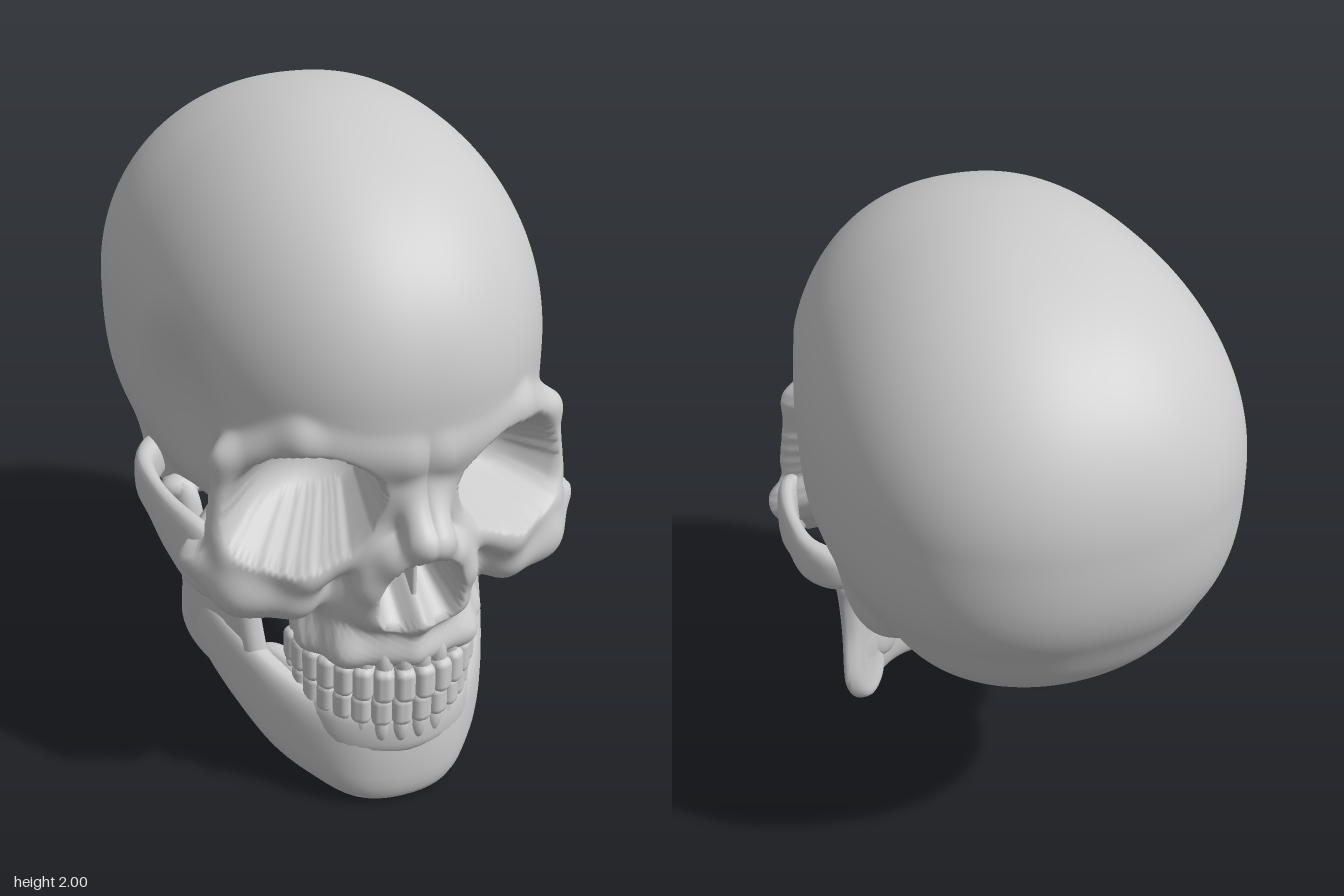
import * as THREE from 'three';
import { mergeVertices, toCreasedNormals } from 'three/addons/utils/BufferGeometryUtils.js';
import { RoundedBoxGeometry } from 'three/addons/geometries/RoundedBoxGeometry.js';

const bone = new THREE.MeshStandardMaterial({ color: 0xcccccc });

// ---- sculpting volumes: negative inside, positive outside ----
const ball = (x, y, z, c, r) => {
  const X = (x - c[0]) / r[0], Y = (y - c[1]) / r[1], Z = (z - c[2]) / r[2];
  const k = Math.sqrt(X * X + Y * Y + Z * Z);
  const g = Math.sqrt((X / r[0]) ** 2 + (Y / r[1]) ** 2 + (Z / r[2]) ** 2);
  return k * (k - 1) / (g + 1e-6);
};
// Rounded bar between two points given as [x, y, z, radius]
const bar = (x, y, z, a, b) => {
  const dx = b[0] - a[0], dy = b[1] - a[1], dz = b[2] - a[2];
  const t = ((x - a[0]) * dx + (y - a[1]) * dy + (z - a[2]) * dz) / (dx * dx + dy * dy + dz * dz);
  const h = Math.min(1, Math.max(0, t));
  const X = x - a[0] - dx * h, Y = y - a[1] - dy * h, Z = z - a[2] - dz * h;
  return Math.sqrt(X * X + Y * Y + Z * Z) - (a[3] + (b[3] - a[3]) * h);
};
const join = (a, b, k) => {
  const h = Math.max(k - Math.abs(a - b), 0) / k;
  return Math.min(a, b) - h * h * k / 4;
};
const carve = (a, b, k) => -join(-a, b, k);

// Egg-shaped braincase, narrower at the front and fuller low down
function braincase(x, y, z) {
  const X = x / (0.61 * (1.08 - 0.18 * (z + 0.87) / 1.68));
  const Y = Math.abs(y - 1.35) / 0.65, Z = Math.abs(z + 0.038) / 0.832;
  const plan = (Math.abs(X) ** 2.3 + Z ** 2.3) ** (2 / 2.3);
  return (Math.sqrt(plan + Y ** (y < 1.35 ? 3 : 2)) - 1) * 0.6;
}

// Bony ridges of one half of the face, as chains of [x, y, z, radius]
const ridges = [
  [[0.05, 1.21, 0.735, 0.06], [0.3, 1.255, 0.66, 0.05], [0.47, 1.16, 0.525, 0.045], [0.495, 0.95, 0.52, 0.05]], // brow, outer eye rim
  [[0.13, 0.92, 0.7, 0.045], [0.3, 0.85, 0.655, 0.055], [0.47, 0.88, 0.55, 0.06]], // lower eye rim
  [[0.32, 0.76, 0.6, 0.085], [0.44, 0.775, 0.54, 0.09], [0.53, 0.84, 0.46, 0.075]], // cheekbone
  [[0.02, 1.1, 0.72, 0.05], [0.025, 0.975, 0.815, 0.045]], // nose bridge
  [[0.07, 1.08, 0.695, 0.045], [0.12, 0.86, 0.72, 0.05]], // side of nose
  [[0.01, 0.96, 0.83, 0.036], [0.075, 0.9, 0.775, 0.038], [0.13, 0.8, 0.725, 0.042], [0.115, 0.71, 0.705, 0.045], [0, 0.67, 0.735, 0.035]], // nose opening rim
  [[0, 0.67, 0.735, 0.03], [0, 0.685, 0.772, 0.016]], // spine below nose
  [[0, 0.56, 0.71, 0.05], [0.17, 0.56, 0.645, 0.05], [0.235, 0.56, 0.53, 0.048], [0.24, 0.57, 0.43, 0.045]], // upper gum
];
// Larger masses: centre, radii
const masses = [
  [[0, 0.92, -0.42], [0.42, 0.22, 0.3]], // back of the base
  [[0.42, 0.86, -0.14], [0.1, 0.13, 0.16]], // bump behind the ear
  [[0, 0.72, 0.52], [0.26, 0.23, 0.22]], // upper jaw
  [[0, 0.86, 0.45], [0.26, 0.24, 0.24]], // core behind the nose
  [[0.13, 0.7, 0.34], [0.08, 0.14, 0.1]], // behind the palate
];

function skullVolume(px, y, z) {
  const x = Math.abs(px);
  let d = carve(braincase(x, y, z), ball(x, y, z, [0.67, 1.12, 0.33], [0.2, 0.38, 0.23]), 0.1); // temple hollow
  for (const [c, r] of masses) d = join(d, ball(x, y, z, c, r), 0.1);
  for (const chain of ridges)
    for (let i = 1; i < chain.length; i++) d = join(d, bar(x, y, z, chain[i - 1], chain[i]), 0.045);
  // eye socket (drooping and splayed outwards), nose opening, palate
  d = carve(d, ball(x - 0.3 * (z - 0.65), y + 0.2 * (x - 0.295), z, [0.295, 1.06, 0.65], [0.222, 0.156, 0.24]), 0.03);
  d = carve(d, ball(x + 0.15 * (y - 0.79), y, z, [0.05, 0.8, 0.75], [0.06, 0.122, 0.15]), 0.015);
  return carve(d, ball(x, y, z, [0, 0.47, 0.5], [0.18, 0.12, 0.2]), 0.03);
}

// Shrink-wrap a sphere, its pole facing forward, onto a volume
function shrinkWrap(volume, centre, w, h) {
  const geo = new THREE.SphereGeometry(1, w, h).rotateX(Math.PI / 2);
  const pos = geo.attributes.position, dir = new THREE.Vector3(), dirs = [], rad = [];
  for (let i = 0; i < pos.count; i++) {
    dir.fromBufferAttribute(pos, i);
    // crowd the rings towards the face
    const a = Math.acos(Math.min(1, Math.max(-1, dir.z))), b = Math.PI * (a / Math.PI) ** 1.2;
    const s = Math.sin(a) > 1e-6 ? Math.sin(b) / Math.sin(a) : 0;
    dir.set(dir.x * s, dir.y * s, Math.cos(b));
    dirs.push(dir.clone());
    const at = r => volume(centre.x + dir.x * r, centre.y + dir.y * r, centre.z + dir.z * r);
    let r = 1.3, outer = r, d;
    while (r > 0.1 && (d = at(r)) > 0) { outer = r; r -= Math.max(0.004, d * 0.5); }
    for (let k = 0; k < 7; k++) {
      const m = (r + outer) / 2;
      if (at(m) > 0) outer = m; else r = m;
    }
    rad.push(r);
  }
  // one light smoothing pass over the rings
  const row = w + 1;
  for (let i = 0; i < pos.count; i++) {
    const j = Math.floor(i / row), c = i % row;
    let r = rad[i];
    if (j > 0 && j < h) {
      const left = rad[j * row + (c === 0 ? w - 1 : c - 1)], right = rad[j * row + (c === w ? 1 : c + 1)];
      r = r / 2 + (left + right + rad[i - row] + rad[i + row]) / 8;
    }
    pos.setXYZ(i, centre.x + dirs[i].x * r, centre.y + dirs[i].y * r, centre.z + dirs[i].z * r);
  }
  geo.deleteAttribute('uv');
  geo.deleteAttribute('normal');
  const out = mergeVertices(geo, 1e-5);
  out.computeVertexNormals();
  return out;
}

// Sweep an upright, slightly squared oval along points [x, y, z, half width, half height], with rounded ends
function sweep(points, steps, sides = 20) {
  const path = new THREE.CatmullRomCurve3(points.map(p => new THREE.Vector3(p[0], p[1], p[2])));
  const size = new THREE.CatmullRomCurve3(points.map(p => new THREE.Vector3(p[3], p[4], 0)));
  const square = v => Math.sign(v) * Math.abs(v) ** 0.75;
  const verts = [], index = [];
  for (let i = 0; i <= steps; i++) {
    const u = (1 - Math.cos(Math.PI * i / steps)) / 2;
    const c = path.getPoint(u), s = size.getPoint(u), t = path.getTangent(u).setY(0).normalize();
    const cap = Math.sqrt(Math.max(0, 1 - Math.abs(2 * u - 1) ** 14)) + 0.002;
    for (let j = 0; j < sides; j++) {
      const a = j / sides * Math.PI * 2, k = square(Math.cos(a)) * s.x * cap;
      verts.push(c.x + t.z * k, c.y + square(Math.sin(a)) * s.y * cap, c.z - t.x * k);
      if (i === steps) continue;
      const p = i * sides + j, q = i * sides + (j + 1) % sides;
      index.push(p, q, q + sides, p, q + sides, p + sides);
    }
  }
  const geo = new THREE.BufferGeometry();
  geo.setAttribute('position', new THREE.Float32BufferAttribute(verts, 3));
  geo.setIndex(index);
  geo.computeVertexNormals();
  return geo;
}

// Extend a half path (starting on the centre line) to both sides
const bothSides = half => [...half.slice(1).reverse().map(([x, ...rest]) => [-x, ...rest]), ...half];

function mirrored(geo) {
  const g = geo.clone().scale(-1, 1, 1), ix = g.index;
  for (let i = 0; i < ix.count; i += 3) {
    const a = ix.getX(i);
    ix.setX(i, ix.getX(i + 1));
    ix.setX(i + 1, a);
  }
  return g;
}

// Upright branch of the lower jaw: side outline (z, y), leaning inward to the front and below
function ramusGeometry() {
  const outline = [[0.38, 0.32], [0.36, 0.42], [0.335, 0.55], [0.335, 0.68], [0.3, 0.755], [0.255, 0.73], [0.21, 0.67],
    [0.16, 0.65], [0.12, 0.7], [0.095, 0.8], [0.06, 0.855], [0, 0.85], [-0.02, 0.81], [0.025, 0.7], [0.055, 0.55],
    [0.05, 0.37], [0.11, 0.262], [0.24, 0.215], [0.34, 0.23]].map(p => new THREE.Vector2(...p));
  const shape = new THREE.Shape();
  shape.moveTo(outline[0].x, outline[0].y).splineThru([...outline.slice(1), outline[0]]);
  const geo = new THREE.ExtrudeGeometry(shape, { depth: 0.016, curveSegments: 5, bevelEnabled: true,
    bevelSize: 0.028, bevelThickness: 0.024, bevelOffset: -0.028, bevelSegments: 4 }).rotateY(-Math.PI / 2);
  const pos = geo.attributes.position;
  for (let i = 0; i < pos.count; i++) {
    const tuck = 1.2 * Math.max(0, 0.42 - pos.getY(i)) ** 2;
    pos.setX(i, pos.getX(i) + 0.48 - 0.43 * (pos.getZ(i) - 0.05) - tuck);
  }
  geo.deleteAttribute('uv');
  return mergeVertices(toCreasedNormals(geo, 0.8));
}

export function createModel() {
  const model = new THREE.Group();
  const add = (name, geo, parent = model) => {
    const mesh = new THREE.Mesh(geo, bone);
    mesh.name = name;
    parent.add(mesh);
    return mesh;
  };
  const addPair = (name, geo, parent) => {
    add(name + 'Left', geo, parent);
    add(name + 'Right', mirrored(geo), parent);
  };

  add('cranium', shrinkWrap(skullVolume, new THREE.Vector3(0, 1.15, 0), 250, 190));
  add('nasalSeptum', new RoundedBoxGeometry(0.016, 0.22, 0.12, 2, 0.007)).position.set(0, 0.79, 0.66);
  addPair('cheekArch', sweep([[0.44, 0.79, 0.55, 0.035, 0.09], [0.535, 0.825, 0.45, 0.036, 0.115], [0.58, 0.86, 0.31, 0.03, 0.092],
    [0.594, 0.885, 0.17, 0.027, 0.07], [0.587, 0.893, 0.05, 0.032, 0.07], [0.54, 0.9, -0.04, 0.04, 0.065],
    [0.45, 0.91, -0.12, 0.03, 0.04]], 44));

  // Lower jaw
  const jaw = new THREE.Group();
  jaw.name = 'lowerJaw';
  model.add(jaw);
  add('jawBody', sweep(bothSides([[0, 0.168, 0.642, 0.062, 0.165], [0.12, 0.172, 0.617, 0.064, 0.16], [0.22, 0.205, 0.53, 0.06, 0.15],
    [0.3, 0.245, 0.42, 0.052, 0.145], [0.375, 0.32, 0.27, 0.043, 0.13], [0.425, 0.385, 0.15, 0.036, 0.115],
    [0.445, 0.41, 0.09, 0.03, 0.09]]), 90, 24), jaw);
  add('lowerGum', sweep(bothSides([[0, 0.27, 0.675, 0.042, 0.08], [0.16, 0.27, 0.615, 0.045, 0.08], [0.225, 0.28, 0.51, 0.045, 0.09],
    [0.265, 0.31, 0.39, 0.045, 0.1], [0.34, 0.34, 0.3, 0.035, 0.09]]), 70), jaw);
  addPair('ramus', ramusGeometry(), jaw);
  addPair('condyle', new THREE.SphereGeometry(1, 20, 14).scale(0.06, 0.04, 0.045).translate(0.475, 0.825, 0.03), jaw);

  // Teeth and root bulges along the dental arch
  const arch = new THREE.CatmullRomCurve3(bothSides([[0, 0, 0.73], [0.1, 0, 0.705], [0.19, 0, 0.62], [0.24, 0, 0.51], [0.25, 0, 0.4]])
    .map(p => new THREE.Vector3(...p)));
  const root = new THREE.SphereGeometry(1, 12, 10).scale(0.026, 0.06, 0.03);
  const rows = [
    { name: 'upper', y: 0.462, rootY: 0.53, height: 0.11, scale: 1, parent: model },
    { name: 'lower', y: 0.365, rootY: 0.3, height: 0.1, scale: 0.97, parent: jaw },
  ];
  const count = 16;
  for (const { name, y, rootY, height, scale, parent } of rows) {
    const tooth = new RoundedBoxGeometry(0.06, height, 0.075, 2, 0.024);
    for (let i = 0; i < count; i++) {
      const u = (i + 0.5) / count, p = arch.getPointAt(u), t = arch.getTangentAt(u);
      const turn = Math.atan2(-t.z, t.x);
      for (const [part, geo, py, inset] of [['Tooth', tooth, y, 0], ['Root', root, rootY, 0.008]]) {
        const mesh = add(name + part, geo, parent);
        mesh.position.set(p.x * scale - Math.sin(turn) * inset, py, p.z * scale - Math.cos(turn) * inset);
        mesh.rotation.y = turn;
      }
    }
  }
  return model;
}
